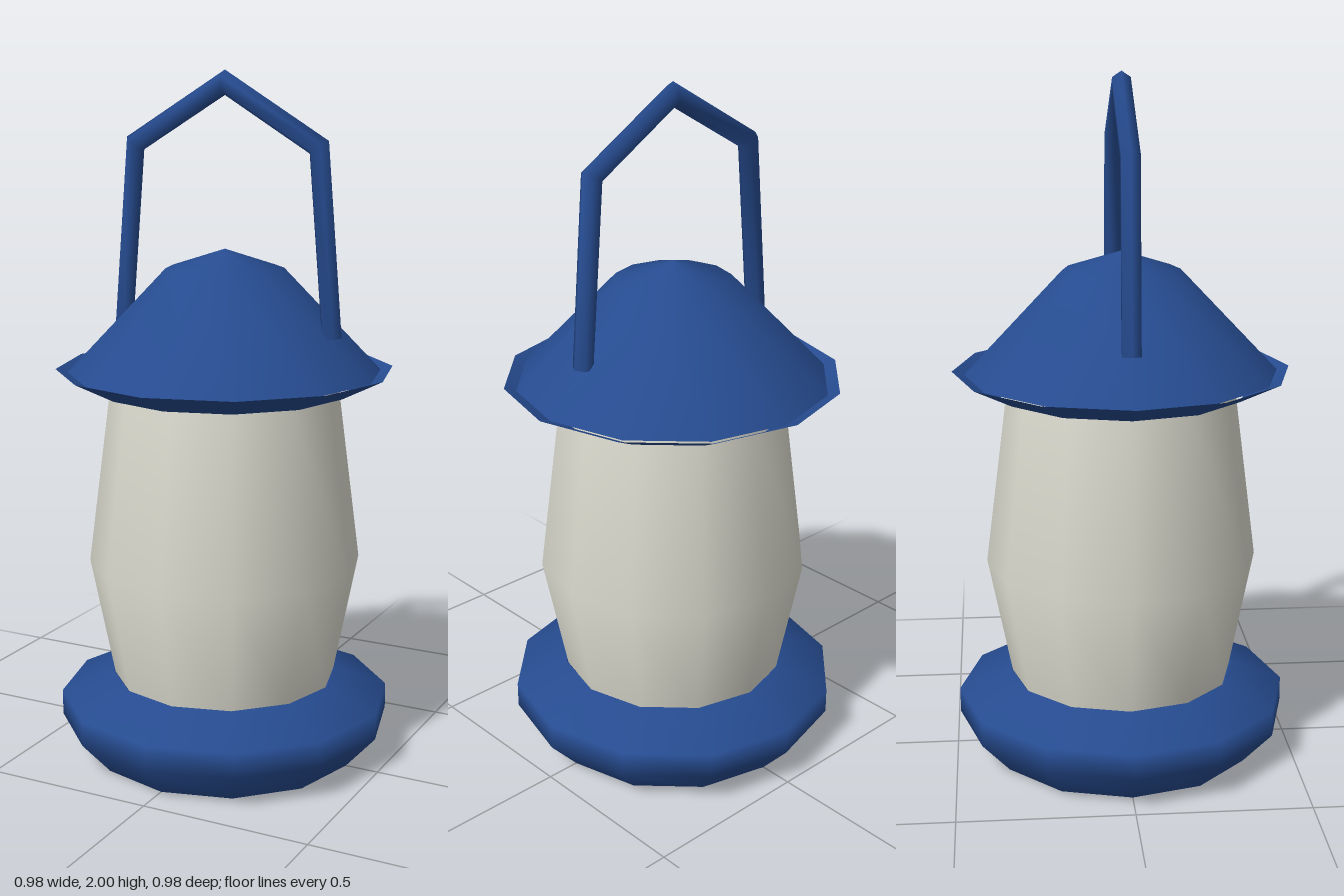
import * as THREE from 'three';

const SIDES = 12;

// Smooth turned shell; profile is [radius, height] from bottom to top
function turned(name, profile, material) {
  const points = profile.map(([r, y]) => new THREE.Vector2(r, y));
  const mesh = new THREE.Mesh(new THREE.LatheGeometry(points, SIDES), material);
  mesh.name = name;
  return mesh;
}

// Hexagonal bar swept along a path in the xy plane with mitred corners
function mitredBar(path, radius) {
  const n = 6;
  const pos = [];
  const index = [];
  const pts = path.map(([x, y]) => new THREE.Vector2(x, y));
  pts.forEach((p, i) => {
    const before = p.clone().sub(pts[Math.max(i - 1, 0)]).normalize();
    const after = pts[Math.min(i + 1, pts.length - 1)].clone().sub(p).normalize();
    const t = before.clone().add(after).normalize();
    const miter = 1 / t.dot(i === 0 ? after : before);
    for (let j = 0; j < n; j++) {
      const a = ((j + 0.5) / n) * Math.PI * 2 + Math.PI / 3 - Math.PI / 6 + Math.PI / 6 - Math.PI / 6 * 2 + Math.PI / 6;
      const u = Math.cos(a) * radius * miter;
      pos.push(p.x - t.y * u, p.y + t.x * u, Math.sin(a) * radius);
    }
  });
  for (let i = 0; i < pts.length - 1; i++) {
    for (let j = 0; j < n; j++) {
      const a = i * n + j;
      const b = i * n + ((j + 1) % n);
      index.push(a, b, a + n, b, b + n, a + n);
    }
  }
  // end caps
  const last = (pts.length - 1) * n;
  for (let j = 1; j < n - 1; j++) {
    index.push(0, j + 1, j, last, last + j, last + j + 1);
  }
  const geometry = new THREE.BufferGeometry();
  geometry.setAttribute('position', new THREE.Float32BufferAttribute(pos, 3));
  geometry.setIndex(index);
  geometry.computeVertexNormals();
  return geometry;
}

export function createModel() {
  const lantern = new THREE.Group();
  lantern.name = 'lantern';

  const blue = new THREE.MeshStandardMaterial({ color: 0x264b8f, side: THREE.DoubleSide });
  blue.name = 'blue paint';
  const glass = new THREE.MeshStandardMaterial({ color: 0xdcdcd0, side: THREE.DoubleSide });
  glass.name = 'frosted glass';

  // Open-bottomed foot, glass chimney, brim underside and domed roof
  lantern.add(
    turned('base', [[0.4, 0], [0.49, 0.1], [0.49, 0.175], [0.335, 0.235]], blue),
    turned('glassChimney', [[0.33, 0.23], [0.4, 0.585], [0.332, 1.11]], glass),
    turned('roofBrim', [[0.37, 1.1], [0.49, 1.16]], blue),
    turned('roofDome', [[0.455, 1.15], [0.17, 1.45], [0, 1.505]], blue)
  );

  // Carrying handle
  const handle = new THREE.Mesh(
    mitredBar([[-0.335, 1.27], [-0.29, 1.797], [0, 1.97], [0.29, 1.797], [0.335, 1.27]], 0.03),
    blue
  );
  handle.name = 'handle';
  lantern.add(handle);

  return lantern;
}
